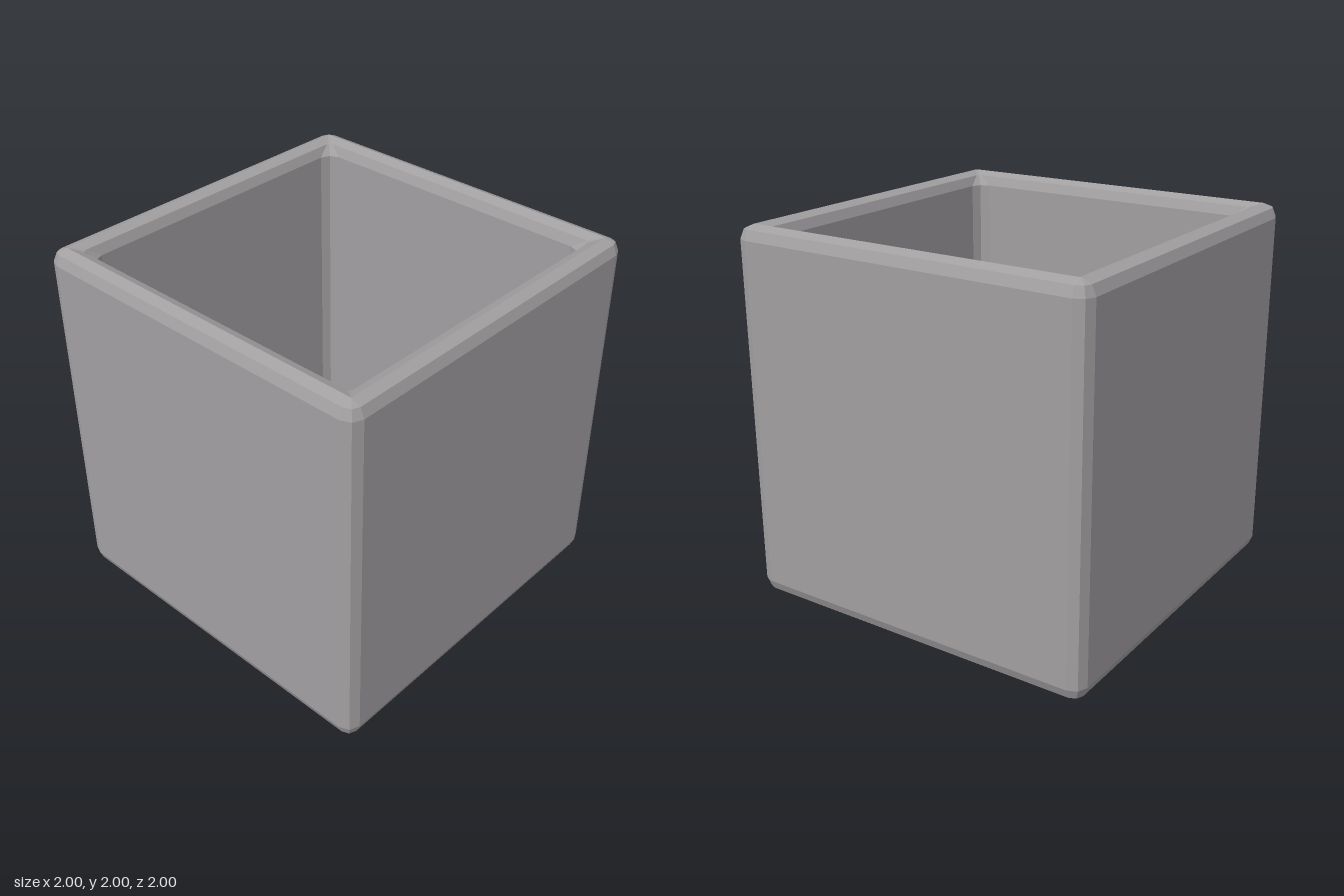
import * as THREE from 'three';

// Square ring with two-segment rounded corners, counterclockwise from +x
function ring([half, radius, y]) {
  const points = [];
  for (let corner = 0; corner < 4; corner++) {
    const mid = (corner + 0.5) * Math.PI / 2;
    const c = (half - radius) * Math.SQRT2;
    for (let k = 0; k < 3; k++) {
      const a = (corner + k / 2) * Math.PI / 2;
      points.push(new THREE.Vector3(
        c * Math.cos(mid) + radius * Math.cos(a),
        y,
        c * Math.sin(mid) + radius * Math.sin(a)
      ));
    }
  }
  return points;
}

// Skin successive rings, leaving out collapsed triangles
function loft(sections) {
  const rings = sections.map(ring);
  const positions = [];
  const triangle = (a, b, c) => {
    const area = b.clone().sub(a).cross(c.clone().sub(a)).length();
    if (area > 1e-7) for (const p of [a, b, c]) positions.push(p.x, p.y, p.z);
  };
  for (let i = 0; i < rings.length - 1; i++) {
    const lower = rings[i], upper = rings[i + 1];
    for (let j = 0; j < lower.length; j++) {
      const n = (j + 1) % lower.length;
      triangle(lower[j], upper[j], lower[n]);
      triangle(lower[n], upper[j], upper[n]);
    }
  }
  const geometry = new THREE.BufferGeometry();
  geometry.setAttribute('position', new THREE.Float32BufferAttribute(positions, 3));
  geometry.computeVertexNormals();
  return geometry;
}

export function createModel() {
  const group = new THREE.Group();
  group.name = 'openBox';
  const material = new THREE.MeshStandardMaterial({ color: 0xa29fa1, flatShading: true });

  const bevel = 0.0725;                    // the rim's two bevels meet at its middle
  const step = bevel * (1 - Math.SQRT1_2); // offset of the bevel's middle line
  const inner = 1 - 2 * bevel;             // half width of the cavity
  const floor = 2 * bevel;                 // floor as thick as the walls

  // Each section: half width, corner radius, height
  const sections = [
    // Underside and bottom bevel
    [0, 0, 0], [1 - bevel, 0, 0], [1 - step, bevel - step, step], [1, bevel, bevel],
    // Outer wall and rim
    [1, bevel, 2 - bevel], [1 - step, bevel - step, 2 - step], [1 - bevel, 0, 2],
    [inner + step, step, 2 - step],
    // Inner wall
    [inner, bevel, 2 - bevel], [inner, bevel, floor + bevel],
    // Inner bevel and floor
    [inner - step, bevel - step, floor + step], [inner - bevel, 0, floor], [0, 0, floor]
  ];
  const shell = new THREE.Mesh(loft(sections), material);
  shell.name = 'boxShell';
  group.add(shell);
  return group;
}
